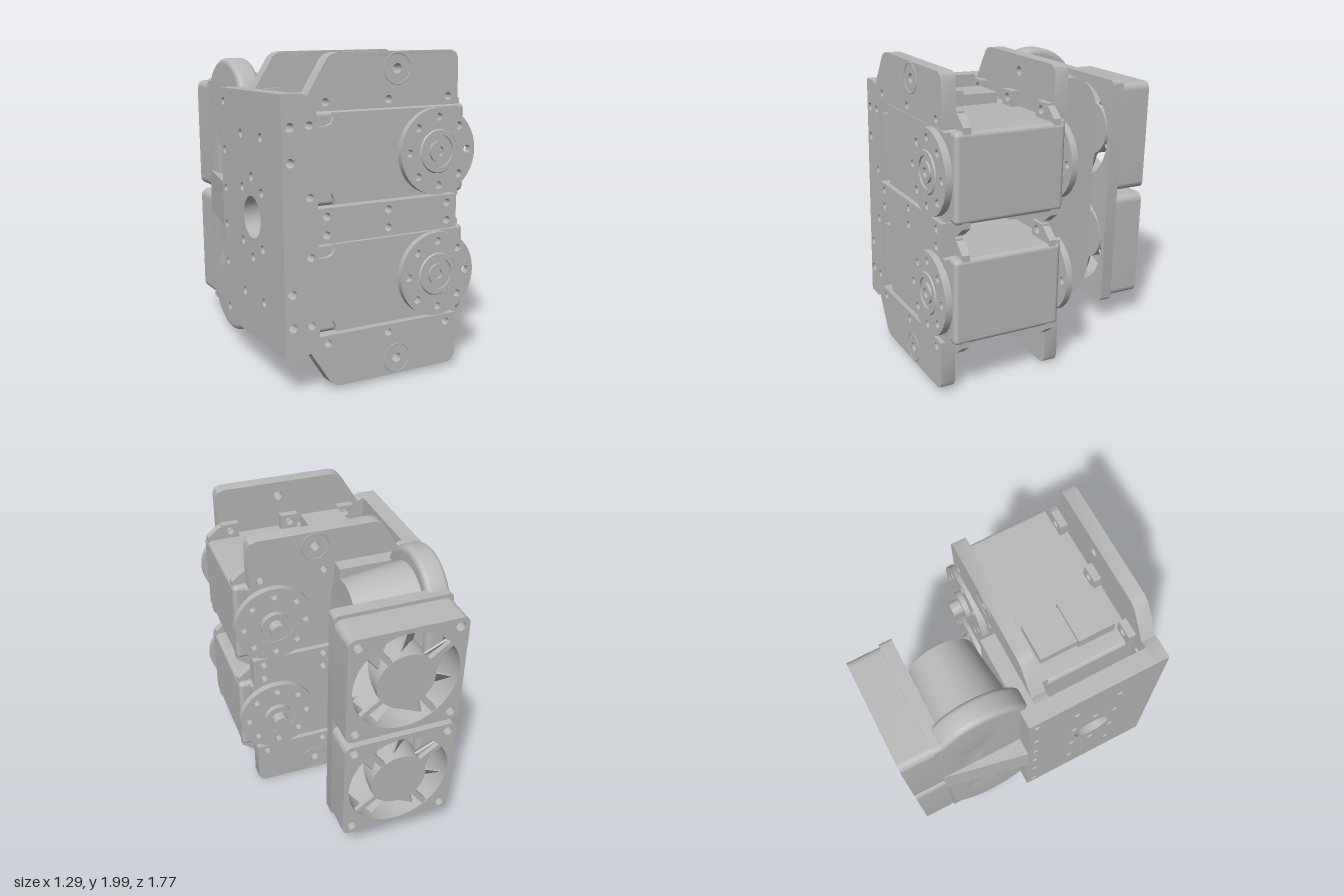
import * as THREE from 'three';
import { toCreasedNormals } from 'three/addons/utils/BufferGeometryUtils.js';
import { RoundedBoxGeometry } from 'three/addons/geometries/RoundedBoxGeometry.js';

const MID = 0.988;             // mirror height of the whole unit
const SERVO_DY = 0.3825;       // servo centres above and below MID
const FAN_DY = 0.398;
const grey = new THREE.MeshStandardMaterial({ color: 0xb8b8b8 });
grey.name = 'grey plastic';

function add(parent, name, geo, x = 0, y = 0, z = 0) {
  const m = new THREE.Mesh(geo, grey);
  m.name = name;
  m.position.set(x, y, z);
  parent.add(m);
  return m;
}
const smooth = (g) => toCreasedNormals(g, 0.6);
const poly = (pts) => new THREE.Shape(pts.map(([x, y]) => new THREE.Vector2(x, y)));

function hole(shape, x, y, r) {
  const p = new THREE.Path();
  p.absarc(x, y, r, 0, Math.PI * 2, true);
  shape.holes.push(p);
}
function disc(r) {
  const s = new THREE.Shape();
  s.absarc(0, 0, r, 0, Math.PI * 2, false);
  return s;
}
function roundRect(x0, y0, x1, y1, r) {
  const s = new THREE.Shape();
  s.absarc(x1 - r, y0 + r, r, -Math.PI / 2, 0, false);
  s.absarc(x1 - r, y1 - r, r, 0, Math.PI / 2, false);
  s.absarc(x0 + r, y1 - r, r, Math.PI / 2, Math.PI, false);
  s.absarc(x0 + r, y0 + r, r, Math.PI, Math.PI * 1.5, false);
  return s;
}
// extrusion along z, from z0 to z1
function extZ(shape, z0, z1) {
  const g = new THREE.ExtrudeGeometry(shape, { depth: z1 - z0, bevelEnabled: false, curveSegments: 20 });
  return smooth(g.translate(0, 0, z0));
}
// extrusion along x of a shape drawn in (z, y), with an optional rounded edge
function extX(shape, x0, x1, bevel = 0) {
  const g = new THREE.ExtrudeGeometry(shape, {
    depth: x1 - x0 - 2 * bevel, curveSegments: 24, bevelEnabled: bevel > 0,
    bevelSize: bevel, bevelThickness: bevel, bevelOffset: -bevel, bevelSegments: 5,
  });
  return smooth(g.rotateY(-Math.PI / 2).translate(x1 - bevel, 0, 0));
}
function latheZ(pts) {
  const g = new THREE.LatheGeometry(pts.map(([r, h]) => new THREE.Vector2(r, h)), 40);
  return smooth(g.rotateX(Math.PI / 2));
}

// Bracket plate with two slots, open on the servo side
function plateShape(left, withEdgeHoles) {
  const lower = [[left, -0.765], [-0.53, -0.765], [-0.49, -0.75], [-0.36, -0.615 - 0.34], [-0.33, -0.976],
    [-0.29, -0.985], [0.48, -0.985], [0.515, -0.97], [0.53, -0.935], [0.53, -SERVO_DY - 0.278],
    [-0.43, -SERVO_DY - 0.278], [-0.43, -SERVO_DY + 0.278], [0.53, -SERVO_DY + 0.278]];
  const upper = lower.map(([x, y]) => [x, -y]).reverse();
  const s = poly([...lower, ...upper].map(([x, y]) => [x, y + MID]));
  for (const k of [-1, 1]) {
    for (const x of [-0.375, 0.04, 0.46]) {
      hole(s, x, MID + k * 0.055, 0.024);
      hole(s, x, MID + k * 0.71, 0.024);
    }
    for (const y of [0.175, 0.585]) hole(s, -0.48, MID + k * y, 0.024);
    if (withEdgeHoles) for (const y of [0.38, 0.58]) hole(s, -0.6, MID + k * y, 0.027);
    hole(s, 0.1, MID + k * 0.885, 0.03);
  }
  return s;
}

function makeHorn(name, profile) {
  const horn = new THREE.Group();
  horn.name = name;
  const s = disc(0.265);
  hole(s, 0, 0, 0.135);
  for (let i = 0; i < 8; i++) hole(s, 0.208 * Math.cos(i * Math.PI / 4), 0.208 * Math.sin(i * Math.PI / 4), 0.024);
  add(horn, 'hornDisc', extZ(s, 0, 0.045));
  add(horn, 'hornHub', latheZ(profile));
  return horn;
}

function makeServo() {
  const g = new THREE.Group();
  g.name = 'servo';
  add(g, 'servoBody', new RoundedBoxGeometry(1.05, 0.55, 0.73, 3, 0.03), 0.095, 0, 0.42);
  // end caps with notched corners
  const cap = poly([[-0.42, -0.19], [-0.36, -0.19], [-0.325, -0.205], [-0.31, -0.24], [-0.31, -0.265], [0.55, -0.265],
    [0.55, 0.265], [-0.31, 0.265], [-0.31, 0.24], [-0.325, 0.205], [-0.36, 0.19], [-0.42, 0.19]]);
  add(g, 'servoFrontCap', extZ(cap, 0.77, 0.815));
  add(g, 'servoBackCap', extZ(cap, 0.02, 0.07));
  const front = makeHorn('frontHorn', [[0.137, 0], [0.137, 0.04], [0.128, 0.052], [0.1, 0.052], [0.1, 0.04],
    [0.065, 0.04], [0.065, 0.056], [0.03, 0.056], [0.03, 0.035], [0, 0.035]]);
  front.position.set(0.38, 0, 0.812);
  const back = makeHorn('backHorn', [[0.137, 0], [0.137, 0.04], [0.095, 0.04], [0.095, 0.075], [0.052, 0.075],
    [0.052, 0.142], [0, 0.142]]);
  back.rotation.y = Math.PI;
  back.position.set(0.38, 0, 0.02);
  g.add(front, back);

  for (const k of [-1, 1]) {
    // screw clips against both plates, gussets at the free end
    for (const z of [0.09, 0.685]) {
      for (const x of [-0.375, 0.04, 0.46]) {
        const s = poly([[x - 0.06, k * 0.26], [x + 0.06, k * 0.26], [x + 0.06, k * 0.375], [x - 0.06, k * 0.375]]);
        hole(s, x, k * 0.327, 0.028);
        add(g, 'screwClip', extZ(s, z, z + 0.05));
      }
      add(g, 'endGusset', extZ(poly([[0.51, k * 0.26], [0.51, k * 0.365], [0.54, k * 0.36],
        [0.615, k * 0.3], [0.615, k * 0.26]]), z, z + 0.05));
    }
    add(g, 'connectorBlock', new THREE.BoxGeometry(0.28, 0.11, 0.25), -0.175, k * 0.32, 0.54);
    add(g, 'connectorStep', new THREE.BoxGeometry(0.25, 0.08, 0.25), -0.175, k * 0.305, 0.29);
  }
  return g;
}

function makeFan() {
  const g = new THREE.Group();
  g.name = 'fan';
  const frame = roundRect(-0.377, -0.377, 0.377, 0.377, 0.05);
  hole(frame, 0, 0, 0.345);
  for (const a of [-1, 1]) for (const b of [-1, 1]) hole(frame, a * 0.317, b * 0.317, 0.032);
  add(g, 'fanFrame', extZ(frame, -0.108, 0.108));
  const hub = new THREE.CylinderGeometry(0.19, 0.19, 0.2, 40).rotateX(Math.PI / 2);
  add(g, 'fanHub', hub, 0, 0, -0.005);
  for (let i = 0; i < 4; i++) {
    const a = Math.PI / 4 + 0.15 + i * Math.PI / 2;
    const strut = add(g, 'fanStrut', new THREE.BoxGeometry(0.2, 0.035, 0.03), 0.26 * Math.cos(a), 0.26 * Math.sin(a), -0.088);
    strut.rotation.z = a;
  }
  for (let i = 0; i < 7; i++) {
    const arm = new THREE.Group();
    arm.name = 'fanBladeArm';
    arm.rotation.z = (i / 7) * Math.PI * 2;
    const blade = add(arm, 'fanBlade', new THREE.BoxGeometry(0.16, 0.19, 0.012), 0.25, 0, 0.01);
    blade.rotation.x = 0.75;
    g.add(arm);
  }
  return g;
}

// Stadium outline in (z, y)
function stadium(cz, r, half) {
  const s = new THREE.Shape();
  s.absarc(cz, MID + half - r, r, 0, Math.PI, false);
  s.absarc(cz, MID - half + r, r, Math.PI, Math.PI * 2, false);
  return s;
}

export function createModel() {
  const model = new THREE.Group();
  model.name = 'servoFanUnit';
  const body = new THREE.Group();
  body.name = 'tiltedBody';
  body.rotation.x = -0.031;
  body.position.set(0, -0.003, 0.031);
  model.add(body);

  // bracket: two plates joined by a drilled side wall
  add(body, 'frontPlate', extZ(plateShape(-0.65, true), 0.74, 0.833));
  add(body, 'backPlate', extZ(plateShape(-0.536, false), 0, 0.092));
  const wall = poly([[-0.1, MID - 0.765], [0.74, MID - 0.765], [0.74, MID + 0.765], [-0.1, MID + 0.765]]);
  hole(wall, 0.38, MID, 0.13);
  for (const k of [-1, 1]) {
    for (const j of [-1, 1]) {
      hole(wall, 0.38 + j * 0.15, MID + k * 0.17, 0.027);
      hole(wall, 0.38 + j * 0.15, MID + k * 0.5, 0.027);
    }
    hole(wall, 0.38, MID + k * 0.25, 0.027);
    for (const y of [0.12, 0.37, 0.68]) hole(wall, -0.05, MID + k * y, 0.025);
  }
  add(body, 'sideWall', extX(wall, -0.65, -0.535));
  // raised washers round the plate end holes
  for (const k of [-1, 1]) for (const z of [0.834, -0.001]) {
    add(body, 'screwRing', new THREE.TorusGeometry(0.09, 0.004, 6, 36), 0.1, MID + k * 0.885, z);
  }

  for (const k of [-1, 1]) {
    const servo = makeServo();
    servo.position.y = MID + k * SERVO_DY;
    body.add(servo);
    const fan = makeFan();
    fan.position.set(-0.157, MID + k * FAN_DY, -0.758);
    body.add(fan);
  }

  // duct behind the back plate
  add(body, 'ductBase', new THREE.BoxGeometry(0.506, 1.5, 0.1), -0.283, MID, -0.05);
  const flange = stadium(-0.335, 0.32, 0.942);
  for (const k of [-1, 1]) hole(flange, -0.4, MID + k * 0.39, 0.03);
  add(body, 'ductFlange', extX(flange, -0.536, -0.38, 0.035));
  const plug = new THREE.ExtrudeGeometry(stadium(-0.345, 0.26, 0.85), { depth: 0.43, bevelEnabled: false, curveSegments: 24 });
  plug.rotateY(-Math.PI / 2).translate(0.04, 0, 0);
  const p = plug.attributes.position;
  for (let i = 0; i < p.count; i++) {          // taper towards +x
    if (p.getX(i) < 0) continue;
    p.setY(i, MID + (p.getY(i) - MID) * 0.947);
    p.setZ(i, -0.345 + (p.getZ(i) + 0.345) * 0.83);
  }
  add(body, 'taperedDuct', smooth(plug));

  // fan mounting plate and the wedge that braces it to the wall
  const mount = roundRect(-0.535, MID - 0.8, 0.22, MID + 0.8, 0.03);
  for (const k of [-1, 1]) hole(mount, -0.157, MID + k * FAN_DY, 0.345);
  add(body, 'fanMount', extZ(mount, -0.65, -0.565));
  add(body, 'mountSide', new THREE.BoxGeometry(0.1, 1.56, 0.3), -0.485, MID, -0.49);
  const wedge = extZ(poly([[-0.65, 0.1], [-0.53, 0.1], [-0.53, 0.65], [-0.536, 0.65]]), 0, 0.3);
  add(body, 'braceWedge', wedge.rotateX(-Math.PI / 2), 0, MID - 0.15, 0);
  return model;
}
